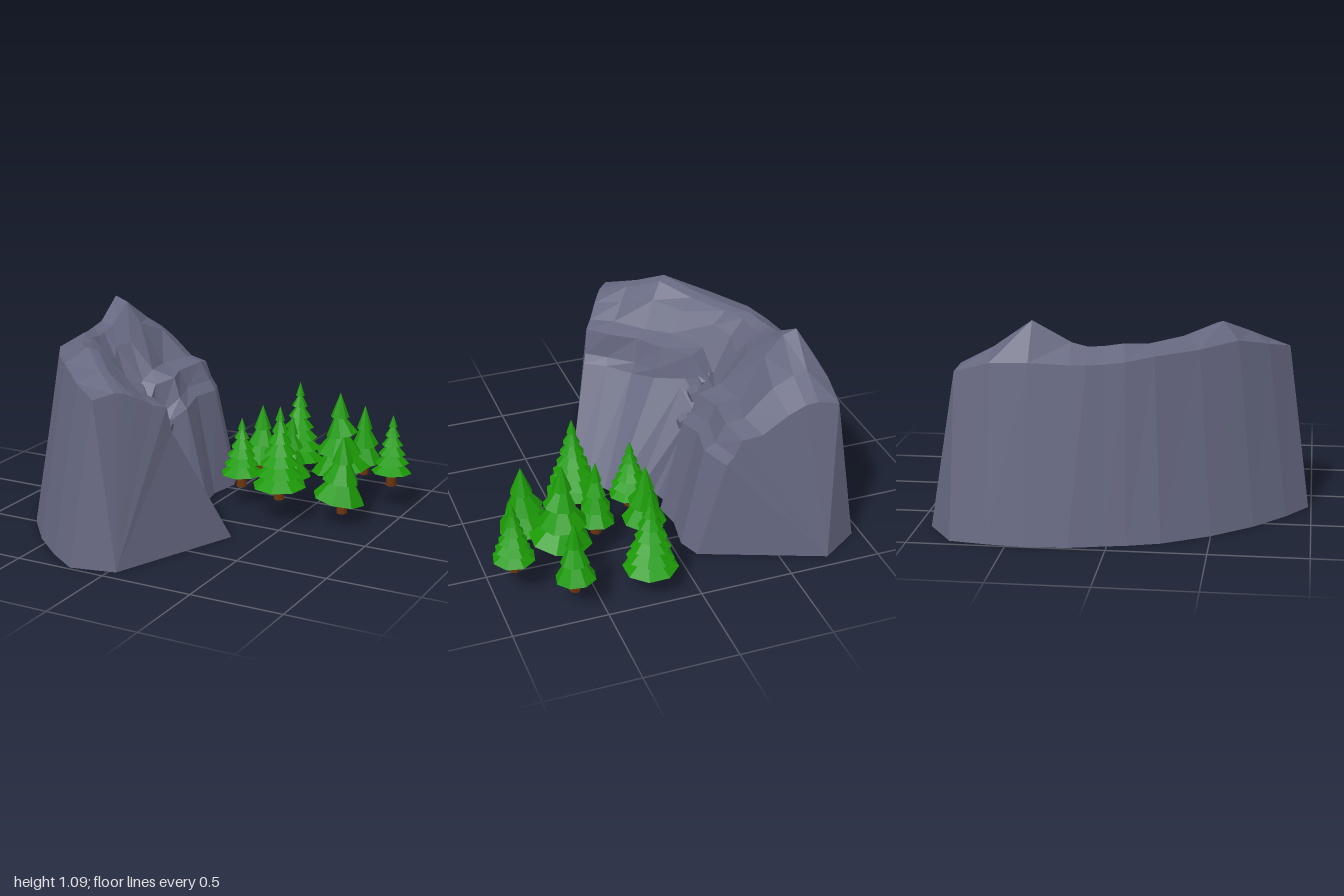
import * as THREE from 'three';

const rockMat = new THREE.MeshStandardMaterial({ name: 'slate rock', color: 0x656780, flatShading: true });
const leafMat = new THREE.MeshStandardMaterial({ name: 'pine green', color: 0x1c9a06, flatShading: true });
const trunkMat = new THREE.MeshStandardMaterial({ name: 'bark brown', color: 0x6a340c, flatShading: true });

// small seeded generator for roughness
function makeRandom(seed) {
  return () => {
    seed = (seed * 16807) % 2147483647;
    return seed / 2147483647 - 0.5;
  };
}

// cliff stations, north to south:
// outer foot x z, inner foot x z, rim y, crest y, shelf y, lip y, setback of the shelf
const STATIONS = [
  [-0.95, -0.79, -0.10, -0.68, 0.84, 0.86, 0.70, 0.59, 0.05],
  [-0.98, -0.60, -0.055, -0.56, 0.89, 0.95, 0.72, 0.60, 0],
  [-1.00, -0.40, -0.085, -0.37, 0.90, 1.09, 0.72, 0.60, 0],
  [-0.985, -0.19, -0.06, -0.23, 0.89, 0.98, 0.72, 0.58, 0],
  [-0.965, -0.10, -0.11, -0.16, 0.89, 0.96, 0.68, 0.50, 0.05],
  [-0.945, -0.02, -0.09, -0.10, 0.89, 0.96, 0.58, 0.36, 0.15],
  [-0.92, 0.10, -0.07, -0.07, 0.90, 0.97, 0.66, 0.50, 0.30],
  [-0.87, 0.26, 0.02, -0.05, 0.92, 0.96, 0.77, 0.62, 0.35],
  [-0.73, 0.50, 0.13, 0.00, 0.93, 0.98, 0.79, 0.63, 0.35],
  [-0.555, 0.71, 0.165, 0.06, 0.95, 1.03, 0.79, 0.63, 0.35],
  [-0.37, 0.87, 0.24, 0.14, 0.90, 0.95, 0.79, 0.63, 0.35],
  [-0.20, 0.985, 0.32, 0.21, 0.86, 0.88, 0.79, 0.63, 0.35],
];
// how far each row lies from the outer foot to the inner foot
const ROWS = [0, 0.15, 0.28, 0.36, 0.47, 0.63, 0.76, 0.81, 0.86, 1];

function buildCliff() {
  const rnd = makeRandom(41);
  const last = STATIONS.length - 1;
  const n = ROWS.length;
  const rings = STATIONS.map(([ox, oz, ix, iz, rim, crest, shelf, lip, setback], i) => {
    const drop = crest - shelf;
    const heights = [0, rim, crest, crest - drop * 0.07, crest - drop * 0.38, shelf, shelf - 0.02, lip, lip - 0.05, 0];
    return ROWS.map((row, k) => {
      const t = k > 2 && k < n - 1 ? row - setback * (row - 0.28) : row;
      const rough = k > 3 && k < n - 1 && i > 0 && i < last ? 0.03 : 0;
      return [
        ox + (ix - ox) * t + rnd() * rough,
        heights[k] + rnd() * rough,
        oz + (iz - oz) * t + rnd() * rough,
      ];
    });
  });
  const pos = [];
  const tri = (a, b, c) => pos.push(...a, ...b, ...c);
  // skin between stations, closing underneath
  for (let i = 0; i < last; i++) {
    for (let k = 0; k < n; k++) {
      const m = (k + 1) % n;
      const a = rings[i][k], b = rings[i + 1][k], c = rings[i + 1][m], d = rings[i][m];
      tri(a, b, c);
      tri(a, c, d);
    }
  }
  // end faces fan out from a buttress foot
  const northFoot = [-0.74, 0, -0.93], southFoot = [0.04, 0, 0.93];
  for (let k = 0; k < n; k++) {
    const m = (k + 1) % n;
    tri(northFoot, rings[0][k], rings[0][m]);
    tri(southFoot, rings[last][m], rings[last][k]);
  }
  const geo = new THREE.BufferGeometry();
  geo.setAttribute('position', new THREE.Float32BufferAttribute(pos, 3));
  geo.computeVertexNormals();
  const mesh = new THREE.Mesh(geo, rockMat);
  mesh.name = 'cliff';
  return mesh;
}

function buildBoulders() {
  const group = new THREE.Group();
  group.name = 'cleftBoulders';
  // x, y, z, radius
  [[-0.35, 0.57, -0.04, 0.07], [-0.26, 0.45, -0.09, 0.06], [-0.42, 0.61, 0.03, 0.06]].forEach(([x, y, z, r], i) => {
    const rock = new THREE.Mesh(new THREE.DodecahedronGeometry(r), rockMat);
    rock.name = 'boulder';
    rock.position.set(x, y, z);
    rock.rotation.set(i, i * 2, 0.4);
    rock.scale.y = 0.8;
    group.add(rock);
  });
  return group;
}

function buildTree(x, z, radius, base, top, tiers, seed) {
  const rnd = makeRandom(seed);
  const tree = new THREE.Group();
  tree.name = 'pineTree';
  tree.position.set(x, base, z);
  tree.rotation.y = seed;
  const h = top - base, skirt = 0.08, crown = h - skirt;

  const trunk = new THREE.Mesh(new THREE.CylinderGeometry(0.022, 0.03, h * 0.4, 8), trunkMat);
  trunk.name = 'trunk';
  trunk.position.y = h * 0.2;
  tree.add(trunk);

  // stacked cones widening downwards; the sparse trees have slightly tilted tiers
  const first = 1.25 / tiers;
  const tilt = tiers < 5 ? 0.3 : 0.08;
  for (let j = 0; j < tiers; j++) {
    const s = j / (tiers - 1);
    const depth = first + (1 - first) * s;
    const height = crown * first * (1 + 0.3 * s);
    const cone = new THREE.Mesh(new THREE.ConeGeometry(radius * depth, height, 8), leafMat);
    cone.name = 'branchTier';
    cone.position.y = h - crown * depth + height / 2;
    if (j > 0) cone.rotation.set(rnd() * tilt, rnd() * tilt, rnd() * tilt);
    tree.add(cone);
  }
  return tree;
}

// x, z, radius, base y, top y, tiers
const TREES = [
  [0.225, -0.85, 0.145, 0.05, 0.59, 7],
  [0.63, -0.86, 0.107, 0.09, 0.50, 3],
  [0.14, -0.53, 0.12, 0.11, 0.52, 3],
  [0.60, -0.565, 0.167, 0.12, 0.645, 4],
  [0.885, -0.645, 0.113, 0.125, 0.535, 6],
  [0.375, -0.42, 0.107, 0.085, 0.525, 4],
  [0.135, -0.275, 0.117, 0.11, 0.51, 6],
  [0.42, -0.165, 0.15, 0.115, 0.645, 7],
  [0.74, -0.29, 0.146, 0.05, 0.49, 3],
];

export function createModel() {
  const model = new THREE.Group();
  model.name = 'cliffAndPines';
  model.add(buildCliff(), buildBoulders());
  const grove = new THREE.Group();
  grove.name = 'pineGrove';
  TREES.forEach((t, i) => grove.add(buildTree(...t, 31 + i * 977)));
  model.add(grove);
  return model;
}
